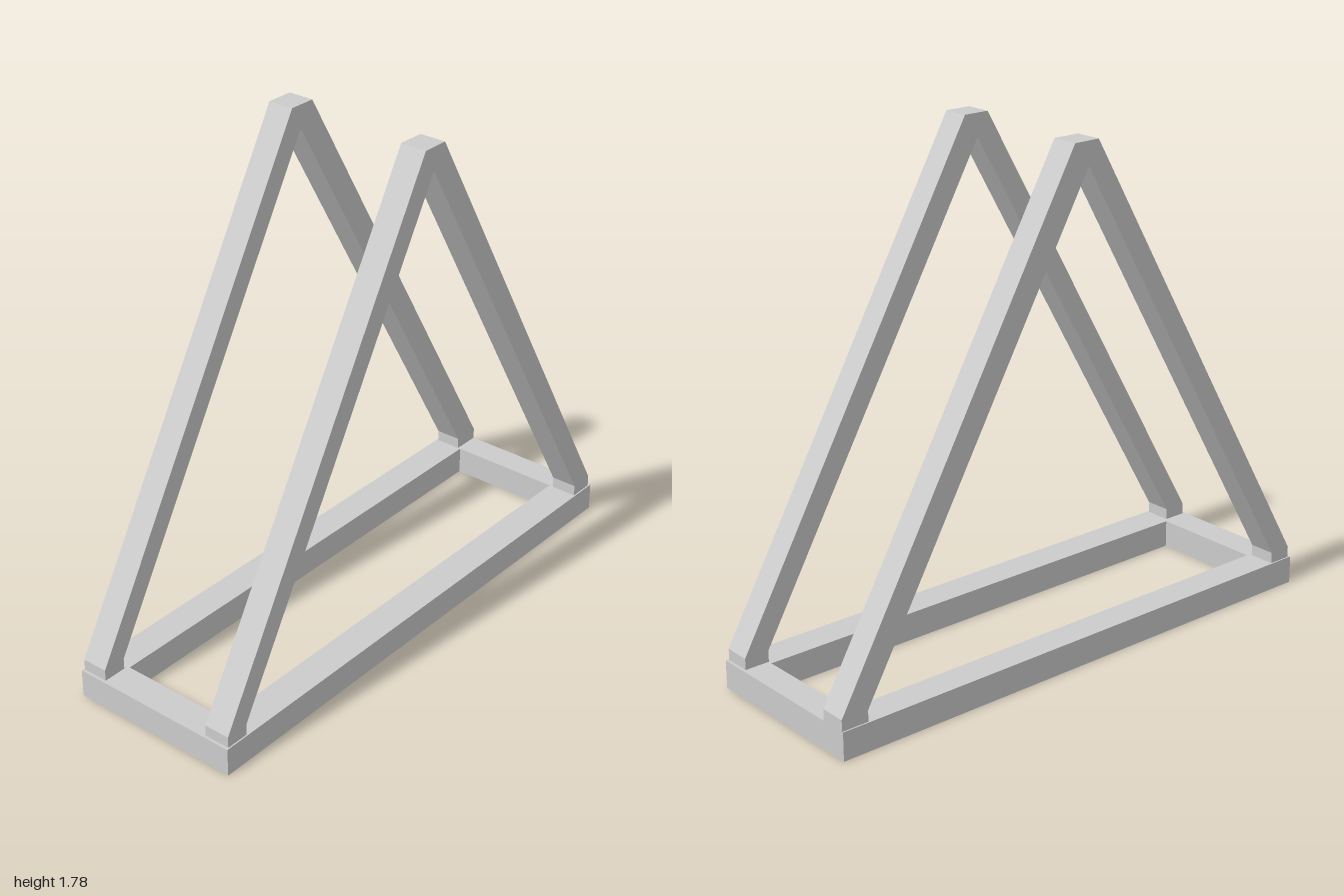
import * as THREE from 'three';

const material = new THREE.MeshStandardMaterial({ color: 0xcccccc, flatShading: true });

const polygon = (points, Type = THREE.Shape) =>
  new Type(points.map(([a, b]) => new THREE.Vector2(a, b)));

const extrude = (shape, depth) =>
  new THREE.ExtrudeGeometry(shape, { depth, bevelEnabled: false });

// Flat rectangular frame lying on the ground
function createBase() {
  const outline = polygon([[-0.32, -1], [0.32, -1], [0.32, 1], [-0.32, 1]]);
  // Shape y becomes -z once laid flat
  outline.holes.push(polygon([[-0.21, -0.89], [-0.21, 0.9], [0.205, 0.9], [0.205, -0.89]], THREE.Path));
  const base = new THREE.Mesh(extrude(outline, 0.1).rotateX(-Math.PI / 2), material);
  base.name = 'baseFrame';
  return base;
}

// Pair of sloping legs with short upright feet, drawn as one (z, y) profile
function createLegs(name, xMin, back, ridgeBack, ridgeFront) {
  const profile = polygon([
    [0.99, 0.1], [0.99, 0.14], [ridgeFront, 1.78], [ridgeBack, 1.78],
    [back, 0.14], [back, 0.1], [-0.9, 0.1], [-0.9, 0.14],
    [-0.005, 1.7], [0.905, 0.14], [0.905, 0.1],
  ]);
  const width = 0.095;
  const geometry = extrude(profile, width).rotateY(-Math.PI / 2);
  const legs = new THREE.Mesh(geometry, material);
  legs.position.x = xMin + width;
  legs.name = name;
  return legs;
}

export function createModel() {
  const model = new THREE.Group();
  model.name = 'trestleStand';
  model.add(
    createBase(),
    createLegs('leftLegs', 0.22, -0.99, -0.057, 0.038),
    createLegs('rightLegs', -0.315, -1, -0.063, 0.035),
  );
  return model;
}
